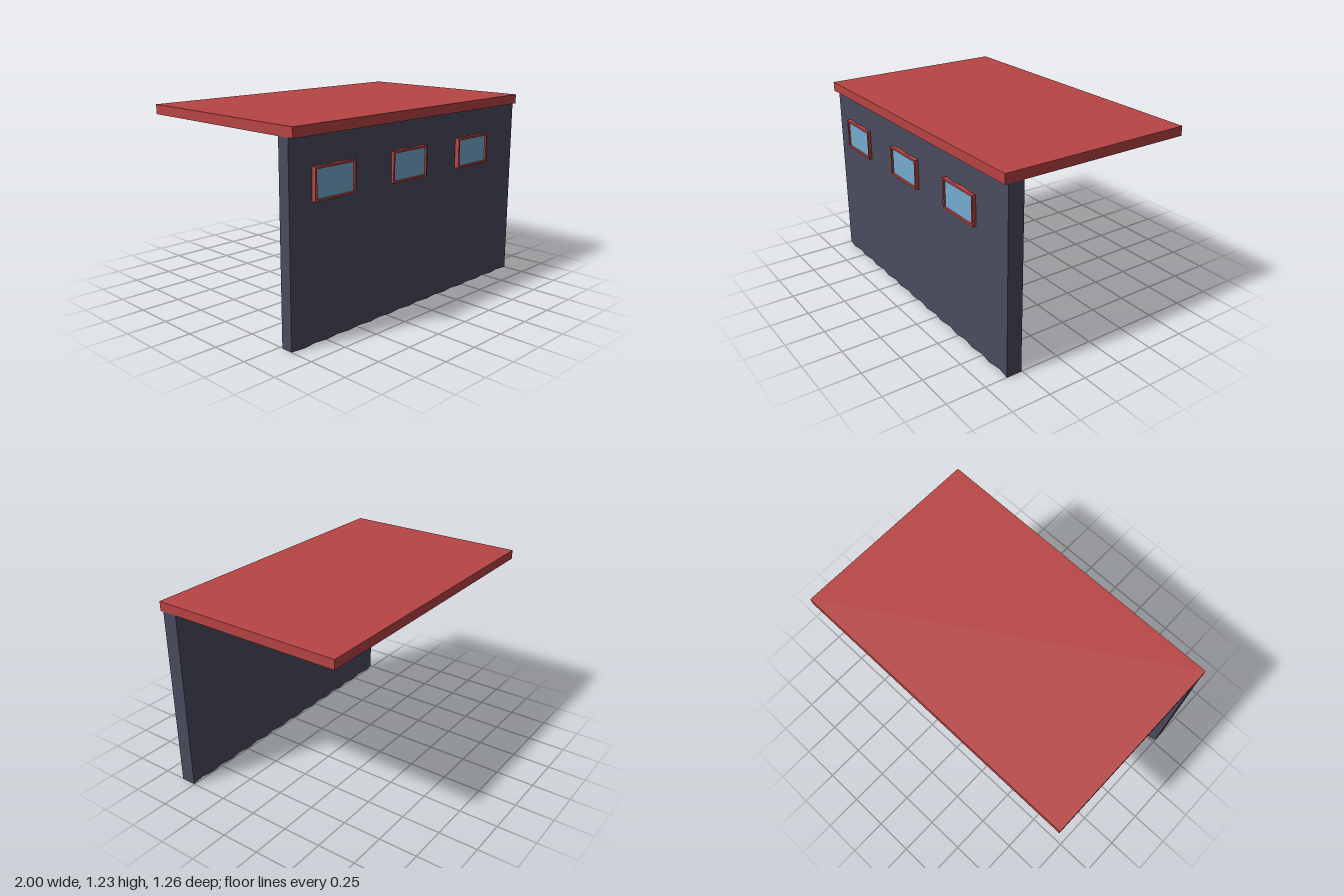
import * as THREE from 'three';

const material = (color) => new THREE.MeshStandardMaterial({ color, flatShading: true });

function addBox(parent, name, mat, size, position) {
  const mesh = new THREE.Mesh(new THREE.BoxGeometry(...size), mat);
  mesh.name = name;
  mesh.position.set(...position);
  parent.add(mesh);
}

// Corrugated panel: a zigzag plan on both faces, extruded upwards
function corrugatedWall(height, centreZ, halfDepth, ripple, facets) {
  const front = [];
  const back = [];
  for (let i = 0; i <= facets; i++) {
    const x = -1 + (2 * i) / facets;
    const half = halfDepth - ((facets - i) % 2 ? ripple : 0);
    front.push(new THREE.Vector2(x, -(centreZ + half)));
    back.unshift(new THREE.Vector2(x, -(centreZ - half)));
  }
  const plan = new THREE.Shape([...front, ...back]);
  const geometry = new THREE.ExtrudeGeometry(plan, { depth: height, bevelEnabled: false });
  return geometry.rotateX(-Math.PI / 2);
}

// Window: four frame bars around a recessed pane
function createWindow(frameMat, glassMat) {
  const group = new THREE.Group();
  const w = 0.305, h = 0.19, bar = 0.012, depth = 0.035;
  const frame = new THREE.Shape();
  frame.moveTo(-w / 2, -h / 2).lineTo(w / 2, -h / 2).lineTo(w / 2, h / 2).lineTo(-w / 2, h / 2).closePath();
  const hole = new THREE.Path();
  const iw = w / 2 - bar, ih = h / 2 - bar;
  hole.moveTo(-iw, -ih).lineTo(-iw, ih).lineTo(iw, ih).lineTo(iw, -ih).closePath();
  frame.holes.push(hole);
  const geometry = new THREE.ExtrudeGeometry(frame, { depth, bevelEnabled: false });
  const mesh = new THREE.Mesh(geometry.translate(0, 0, -depth), frameMat);
  mesh.name = 'windowFrame';
  group.add(mesh);
  addBox(group, 'windowPane', glassMat, [iw * 2, ih * 2, 0.02], [0, 0, -0.021]);
  return group;
}

export function createModel() {
  const model = new THREE.Group();
  const red = material(0xb84444);
  const slate = material(0x4a4c5e);
  const blue = material(0x74acd0);

  // Flat overhanging roof slab
  addBox(model, 'roof', red, [2, 0.06, 1.256], [0, 1.2, 0]);

  // Front wall
  const wall = new THREE.Mesh(corrugatedWall(1.17, 0.555, 0.05, 0.012, 23), slate);
  wall.name = 'corrugatedWall';
  model.add(wall);

  // Row of windows
  [-0.687, -0.072, 0.543].forEach((x) => {
    const win = createWindow(red, blue);
    win.name = 'window';
    win.position.set(x, 0.905, 0.622);
    model.add(win);
  });

  return model;
}
